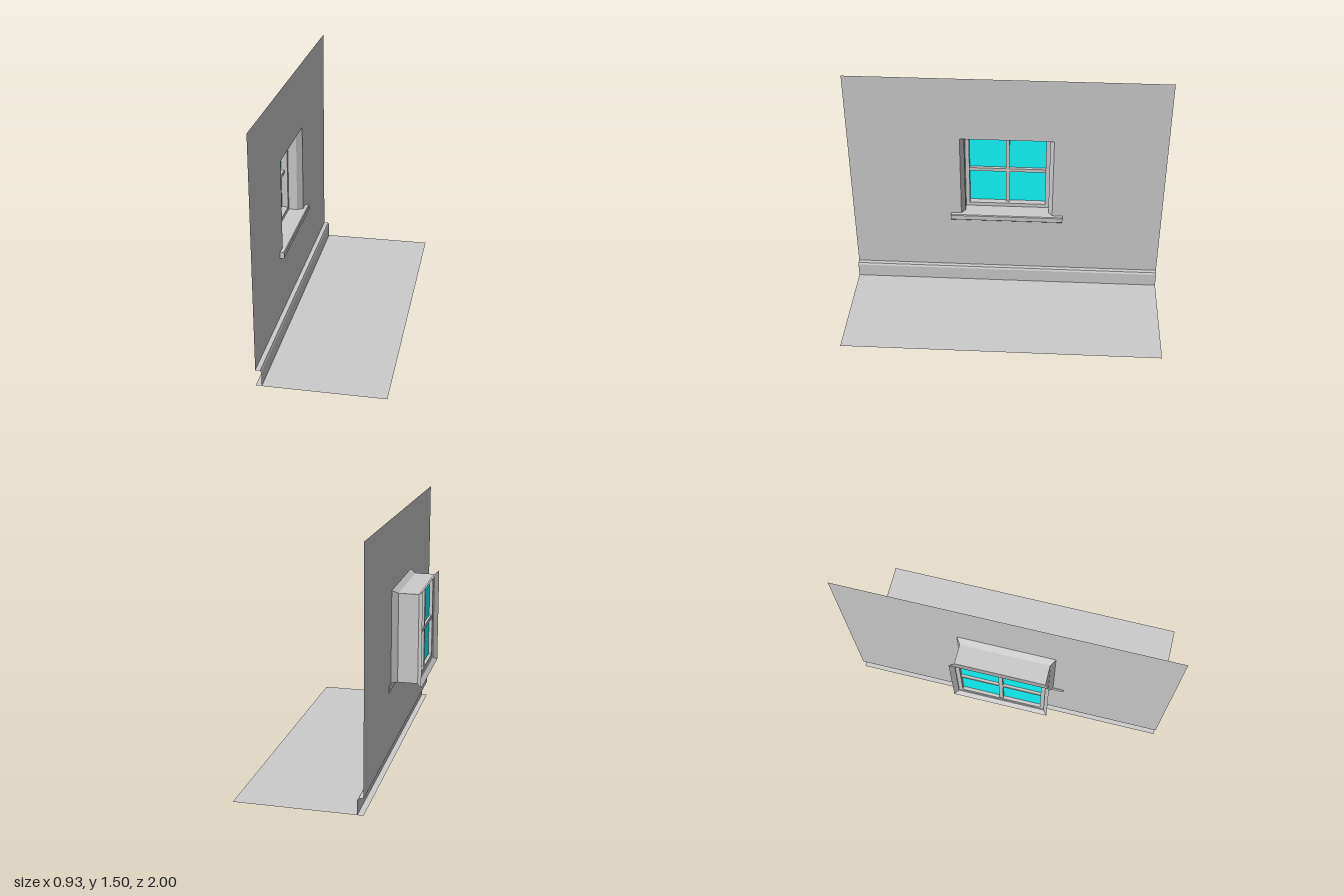
import * as THREE from 'three';

const grey = new THREE.MeshStandardMaterial({ color: 0xcccccc, flatShading: true, side: THREE.DoubleSide });
const glassMat = new THREE.MeshStandardMaterial({ color: 0x12fcff, side: THREE.DoubleSide });

const WALL_X = -0.285;

// Rectangle as a path or shape, given half width and bottom/top
function rect(Type, w, y0, y1) {
  const p = new Type();
  p.moveTo(-w, y0);
  p.lineTo(w, y0);
  p.lineTo(w, y1);
  p.lineTo(-w, y1);
  p.closePath();
  return p;
}

// Turns geometry drawn in the xy plane to face +x, at a given x
const faceX = (geo, x) => geo.rotateY(Math.PI / 2).translate(x, 0, 0);

// Box from its min and max corners
function box(x0, x1, y0, y1, z0, z1) {
  return new THREE.BoxGeometry(x1 - x0, y1 - y0, z1 - z0)
    .translate((x0 + x1) / 2, (y0 + y1) / 2, (z0 + z1) / 2);
}

// Open sheet joining rings of points; closed = join last point to the first
function loft(rings, closed) {
  const n = rings[0].length, pos = rings.flat(2), idx = [];
  for (let r = 0; r < rings.length - 1; r++) {
    for (let i = 0; i < (closed ? n : n - 1); i++) {
      const a = r * n + i, b = r * n + (i + 1) % n;
      idx.push(a, b, a + n, b, b + n, a + n);
    }
  }
  const geo = new THREE.BufferGeometry();
  geo.setAttribute('position', new THREE.Float32BufferAttribute(pos, 3));
  geo.setIndex(idx);
  const flat = geo.toNonIndexed();
  flat.computeVertexNormals();
  return flat;
}

export function createModel() {
  const model = new THREE.Group();
  model.name = 'roomCorner';
  const add = (parent, name, geo, mat = grey) => {
    const mesh = new THREE.Mesh(geo, mat);
    mesh.name = name;
    parent.add(mesh);
  };

  // Floor sheet
  add(model, 'floor', new THREE.PlaneGeometry(0.745, 2).rotateX(-Math.PI / 2).translate(0.0875, 0, 0));

  // Thin wall with the window opening
  const wall = rect(THREE.Shape, 1, 0.1, 1.5);
  wall.holes.push(rect(THREE.Path, 0.295, 0.52, 1.08));
  add(model, 'wall', faceX(new THREE.ShapeGeometry(wall), WALL_X));

  // Skirting board: open profile swept along the wall
  const profile = [[WALL_X, 0.1], [-0.257, 0.1], [-0.25, 0.088], [-0.25, 0]];
  add(model, 'skirtingBoard', loft([1, -1].map(z => profile.map(([x, y]) => [x, y, z])), false));

  const windowGroup = new THREE.Group();
  windowGroup.name = 'window';
  model.add(windowGroup);

  // Reveal: rings of [x, half width, bottom, top], flared at both ends
  const sections = [
    [WALL_X, 0.295, 0.52, 1.08],
    [-0.32, 0.27, 0.52, 1.06],
    [-0.44, 0.27, 0.52, 1.06],
    [-0.465, 0.295, 0.5, 1.08],
  ];
  const rings = sections.map(([x, w, y0, y1]) => [[x, y0, w], [x, y0, -w], [x, y1, -w], [x, y1, w]]);
  add(windowGroup, 'reveal', loft(rings, true));

  // Sash frame around the glass
  const frame = rect(THREE.Shape, 0.27, 0.52, 1.06);
  frame.holes.push(rect(THREE.Path, 0.245, 0.545, 1.035));
  add(windowGroup, 'frame', faceX(new THREE.ExtrudeGeometry(frame, { depth: 0.06, bevelEnabled: false }), -0.435));

  // Glazing bars and glass
  add(windowGroup, 'verticalBar', box(-0.43, -0.397, 0.545, 1.035, -0.012, 0.012));
  add(windowGroup, 'horizontalBar', box(-0.43, -0.395, 0.778, 0.801, -0.245, 0.245));
  add(windowGroup, 'glass', faceX(new THREE.PlaneGeometry(0.49, 0.49).translate(0, 0.79, 0), -0.415), glassMat);

  // Sill with chamfered front edges
  const sill = new THREE.Shape([
    [-0.288, 0.48], [-0.264, 0.48], [-0.259, 0.485],
    [-0.259, 0.515], [-0.264, 0.52], [-0.288, 0.52],
  ].map(([x, y]) => new THREE.Vector2(x, y)));
  add(windowGroup, 'sill', new THREE.ExtrudeGeometry(sill, { depth: 0.724, bevelEnabled: false }).translate(0, 0, -0.362));

  return model;
}
